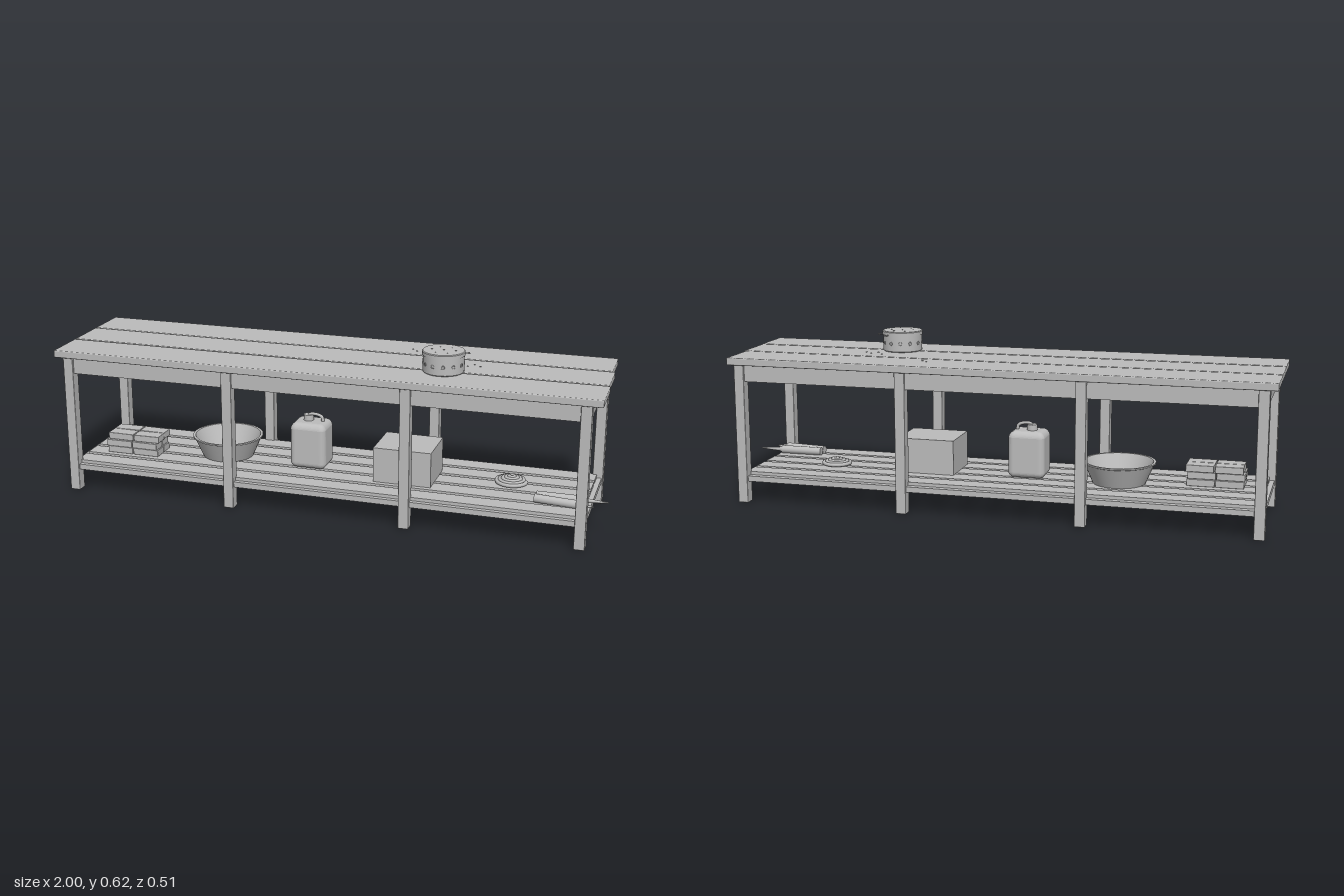
import * as THREE from 'three';
import { RoundedBoxGeometry } from 'three/addons/geometries/RoundedBoxGeometry.js';

export function createModel() {
  const model = new THREE.Group();
  model.name = 'workbench';
  const grey = new THREE.MeshStandardMaterial({ color: 0xbcbcbc });
  grey.name = 'plain grey';
  const greyOpen = grey; // a single flat colour is used for every part

  function add(name, geometry, x = 0, y = 0, z = 0, parent = model) {
    const mesh = new THREE.Mesh(geometry, greyOpen);
    mesh.name = name;
    mesh.position.set(x, y, z);
    parent.add(mesh);
    return mesh;
  }

  // Box given by its extents; r > 0 softens the edges
  function block(name, x0, x1, y0, y1, z0, z1, r = 0, parent = model) {
    const size = [x1 - x0, y1 - y0, z1 - z0];
    const geometry = r ? new RoundedBoxGeometry(...size, 2, r) : new THREE.BoxGeometry(...size);
    return add(name, geometry, (x0 + x1) / 2, (y0 + y1) / 2, (z0 + z1) / 2, parent);
  }

  // Lathe from [radius, height] pairs; repeated points keep edges sharp
  function lathe(name, pairs, x, y, z, parent = model) {
    const group = new THREE.Group();
    group.name = name;
    group.position.set(x, y, z);
    parent.add(group);
    for (let i = 0; i < pairs.length - 1; i++) {
      const pts = [pairs[i], pairs[i + 1]].map(p => new THREE.Vector2(...p));
      add(name + 'Surface', new THREE.LatheGeometry(pts, 40), 0, 0, 0, group);
    }
    return group;
  }

  // Three table top planks
  block('topPlankFront', -1, 0.98, 0.513, 0.54, 0.09, 0.255, 0.004);
  block('topPlankMiddle', -1, 0.975, 0.513, 0.54, -0.08, 0.083, 0.004);
  block('topPlankBack', -1, 0.965, 0.513, 0.54, -0.253, -0.085, 0.004);

  // Legs, lower cross rails and end aprons
  const legX = [-0.953, -0.339, 0.312, 0.924];
  legX.forEach((x, i) => {
    for (const s of [-1, 1]) {
      add('leg', new RoundedBoxGeometry(0.038, 0.513, 0.04, 2, 0.003), x, 0.2565, s * 0.22);
    }
    block('crossRail', x - 0.014, x + 0.014, 0.08, 0.1, -0.2, 0.2);
    if (i % 3 === 0) block('endApron', x - 0.012, x + 0.012, 0.452, 0.513, -0.2, 0.2);
  });

  // Long aprons and long shelf rails
  for (const s of [-1, 1]) {
    add('longApron', new THREE.BoxGeometry(1.86, 0.061, 0.024), -0.0145, 0.4825, s * 0.22);
    add('shelfRail', new THREE.BoxGeometry(1.86, 0.02, 0.024), -0.0145, 0.09, s * 0.22);
  }

  // Shelf slats
  for (let i = 0; i < 5; i++) {
    add('shelfSlat', new THREE.BoxGeometry(1.87, 0.012, 0.07), -0.0145, 0.106, 0.18 - i * 0.0885);
  }
  const shelf = 0.112;

  // Stack of bricks, slightly shifted from layer to layer
  const bricks = new THREE.Group();
  bricks.name = 'brickStack';
  bricks.position.set(-0.775, shelf, 0.052);
  model.add(bricks);
  for (let layer = 0; layer < 3; layer++) {
    const shift = [0, -0.003, 0.003][layer];
    for (const i of [-1, 1]) for (const j of [-1, 1]) {
      const brick = add('brick', new RoundedBoxGeometry(0.1, 0.025, 0.052, 1, 0.002),
        i * 0.0515 + shift, 0.0125 + layer * 0.026, j * 0.0275 - shift, bricks);
      brick.rotation.y = shift * i * j * 5;
    }
  }

  // Open wash basin with a small lip
  lathe('basin', [[0, 0], [0.095, 0], [0.126, 0.072], [0.131, 0.074], [0.131, 0.079],
    [0.122, 0.079], [0.091, 0.005], [0, 0.005]], -0.435, shelf, -0.012);

  // Canister with shoulders, cap and carrying handle
  const canister = new THREE.Group();
  canister.name = 'canister';
  canister.position.set(-0.1, shelf, 0.002);
  model.add(canister);
  const canGeometry = new RoundedBoxGeometry(0.136, 0.171, 0.116, 5, 0.022);
  const pos = canGeometry.attributes.position;
  for (let i = 0; i < pos.count; i++) {
    // shoulders lean in towards the top
    const t = Math.max(0, (pos.getY(i) - 0.06) / 0.0255);
    pos.setX(i, pos.getX(i) * (1 - 0.06 * t));
    pos.setZ(i, pos.getZ(i) * (1 - 0.06 * t));
  }
  canGeometry.computeVertexNormals();
  add('canisterBody', canGeometry, 0, 0.0855, 0, canister);
  add('canisterCap', new THREE.CylinderGeometry(0.018, 0.019, 0.026, 20), -0.012, 0.179, -0.004, canister);
  const handlePath = new THREE.CatmullRomCurve3([
    [-0.012, 0.185], [-0.005, 0.194], [0.025, 0.194], [0.04, 0.186], [0.044, 0.165],
  ].map(([x, y]) => new THREE.Vector3(x, y, -0.001)));
  add('canisterHandle', new THREE.TubeGeometry(handlePath, 24, 0.006, 10), 0, 0, 0, canister);

  // Plain storage box
  block('storageBox', 0.165, 0.376, shelf, 0.24, -0.075, 0.107);

  // Coiled rope, rising towards the middle
  const ropePoints = [];
  for (let i = 0; i <= 80; i++) {
    const t = i / 80, a = t * Math.PI * 9, r = 0.056 - 0.05 * t;
    ropePoints.push(new THREE.Vector3(Math.cos(a) * r, 0.007 + 0.018 * t, Math.sin(a) * r));
  }
  add('ropeCoil', new THREE.TubeGeometry(new THREE.CatmullRomCurve3(ropePoints), 240, 0.0073, 8),
    0.638, shelf, -0.03);

  // Two sealant tubes with pointed nozzles lying on the shelf
  function sealantTube(x, z, angle, nozzle) {
    const tube = new THREE.Group();
    tube.name = 'sealantTube';
    tube.position.set(x, shelf + 0.015, z);
    tube.rotation.set(0, angle, -Math.PI / 2);
    model.add(tube);
    add('tubeBody', new THREE.CylinderGeometry(0.015, 0.015, 0.16, 20), 0, 0.08, 0, tube);
    add('tubeCollar', new THREE.CylinderGeometry(0.008, 0.012, 0.012, 16), 0, 0.166, 0, tube);
    add('tubeNozzle', new THREE.CylinderGeometry(0.002, 0.008, nozzle, 16), 0, 0.172 + nozzle / 2, 0, tube);
  }
  sealantTube(0.752, 0.099, 0, 0.076);
  sealantTube(0.75, 0.128, -0.12, 0.035);

  // Lidded pot with vent holes and two prongs
  const pot = lathe('pot', [[0, 0], [0.069, 0], [0.072, 0.003], [0.072, 0.061], [0.0745, 0.061],
    [0.0745, 0.073], [0.072, 0.076], [0, 0.076]], 0.408, 0.54, 0.086);
  for (let i = 0; i < 12; i++) {
    const a = i * Math.PI / 6 + 0.2;
    const vent = add('ventRing', new THREE.TorusGeometry(0.006, 0.0013, 6, 14),
      Math.sin(a) * 0.072, 0.032, Math.cos(a) * 0.072, pot);
    vent.rotation.y = a;
  }
  for (let i = 0; i < 7; i++) {
    const a = i * Math.PI / 3, r = i < 6 ? 0.042 : 0;
    add('lidStud', new THREE.CylinderGeometry(0.003, 0.003, 0.001, 10),
      Math.cos(a) * r, 0.0765, Math.sin(a) * r, pot);
  }
  for (const a of [2.68, 1.98]) {
    const prong = new THREE.Group();
    prong.name = 'potProng';
    prong.rotation.y = a;
    pot.add(prong);
    const pin = add('prongPin', new THREE.CylinderGeometry(0.002, 0.002, 0.018, 8), 0, 0.062, 0.08, prong);
    pin.rotation.x = Math.PI / 2;
    add('prongTip', new THREE.BoxGeometry(0.014, 0.004, 0.006), 0, 0.062, 0.088, prong);
  }

  // Loose nail heads on the table top
  for (const [x, z] of [[0.476, 0.007], [0.495, -0.02], [0.52, 0], [0.45, -0.03], [0.24, -0.149], [0.26, -0.13]]) {
    add('nailHead', new THREE.CylinderGeometry(0.003, 0.003, 0.002, 8), x, 0.541, z);
  }
  return model;
}
